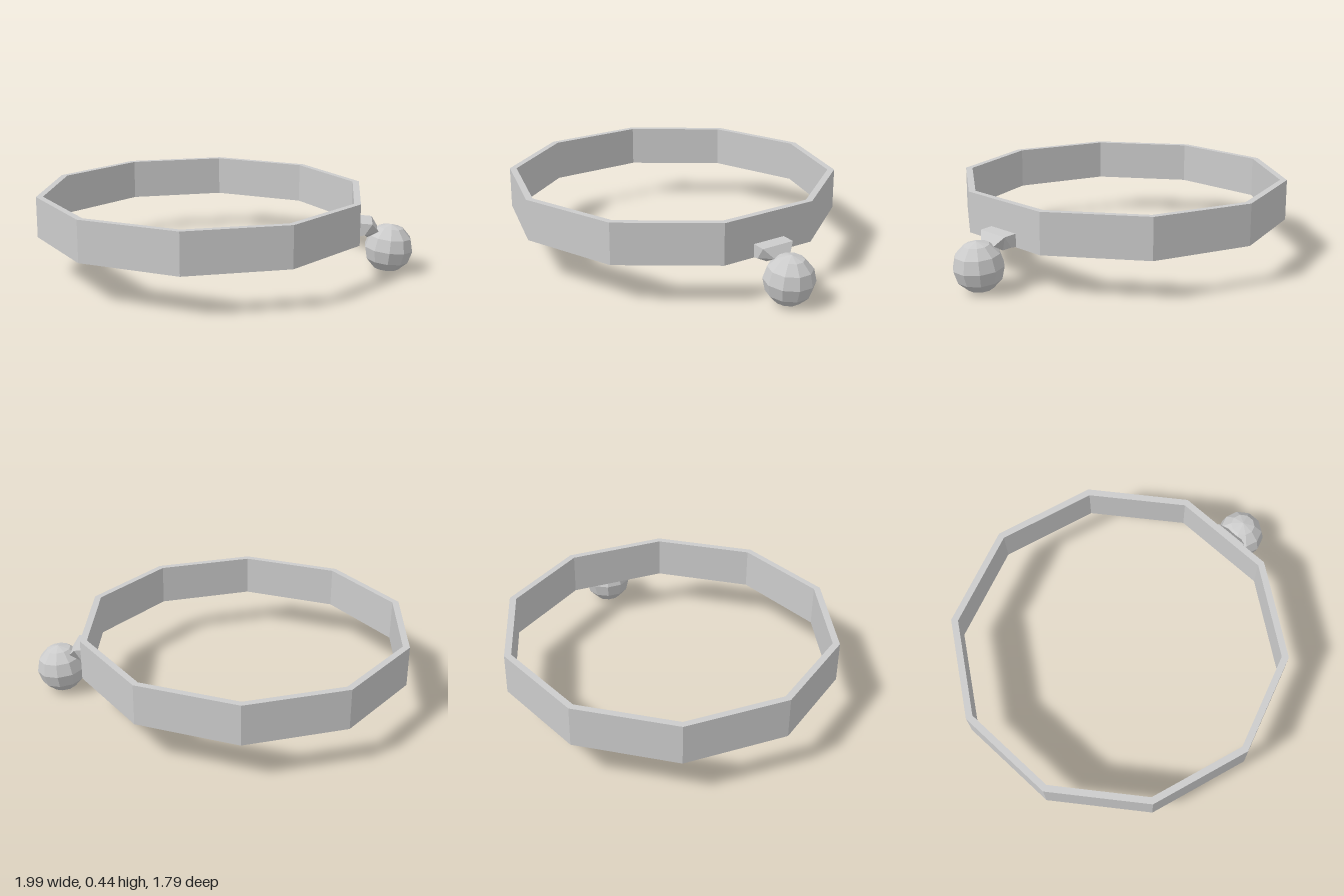
import * as THREE from 'three';

const grey = new THREE.MeshStandardMaterial({ color: 0xcccccc, flatShading: true });

function part(name, geometry) {
  const mesh = new THREE.Mesh(geometry, grey);
  mesh.name = name;
  return mesh;
}

// Closed solid through rectangular sections: top corner, bottom corner, half width
function loftSections(sections) {
  const pos = [], index = [];
  for (const { top, bottom, half } of sections) {
    pos.push(...top, half, ...top, -half, ...bottom, -half, ...bottom, half);
  }
  const quad = (a, b, c, d) => index.push(a, b, c, a, c, d);
  const last = (sections.length - 1) * 4;
  for (let s = 0; s < last; s += 4) {
    for (let i = 0; i < 4; i++) {
      const j = (i + 1) % 4;
      quad(s + i, s + 4 + i, s + 4 + j, s + j);
    }
  }
  quad(0, 1, 2, 3);
  quad(last + 3, last + 2, last + 1, last);
  const g = new THREE.BufferGeometry();
  g.setAttribute('position', new THREE.Float32BufferAttribute(pos, 3));
  g.setIndex(index);
  const flat = g.toNonIndexed();
  flat.computeVertexNormals();
  return flat;
}

export function createModel() {
  const model = new THREE.Group();
  model.name = 'collarWithBell';

  // Ten-sided band with a rectangular wall
  const profile = [[0.859, 0.22], [0.896, 0.22], [0.896, 0.44], [0.859, 0.44], [0.859, 0.22]]
    .map(([r, y]) => new THREE.Vector2(r, y));
  const band = part('band', new THREE.LatheGeometry(profile, 10));
  band.position.x = -0.147;
  model.add(band);

  // Wide tab bending down and narrowing into the bell
  model.add(part('tab', loftSections([
    { top: [0.695, 0.292], bottom: [0.695, 0.222], half: 0.095 },
    { top: [0.775, 0.287], bottom: [0.735, 0.225], half: 0.095 },
    { top: [0.81, 0.237], bottom: [0.752, 0.205], half: 0.05 },
  ])));

  // Faceted bell, leaning slightly outward
  const bell = part('bell', new THREE.SphereGeometry(0.133, 10, 6, Math.PI / 2));
  bell.position.set(0.868, 0.137, 0);
  bell.rotation.z = -0.09;
  model.add(bell);

  return model;
}
